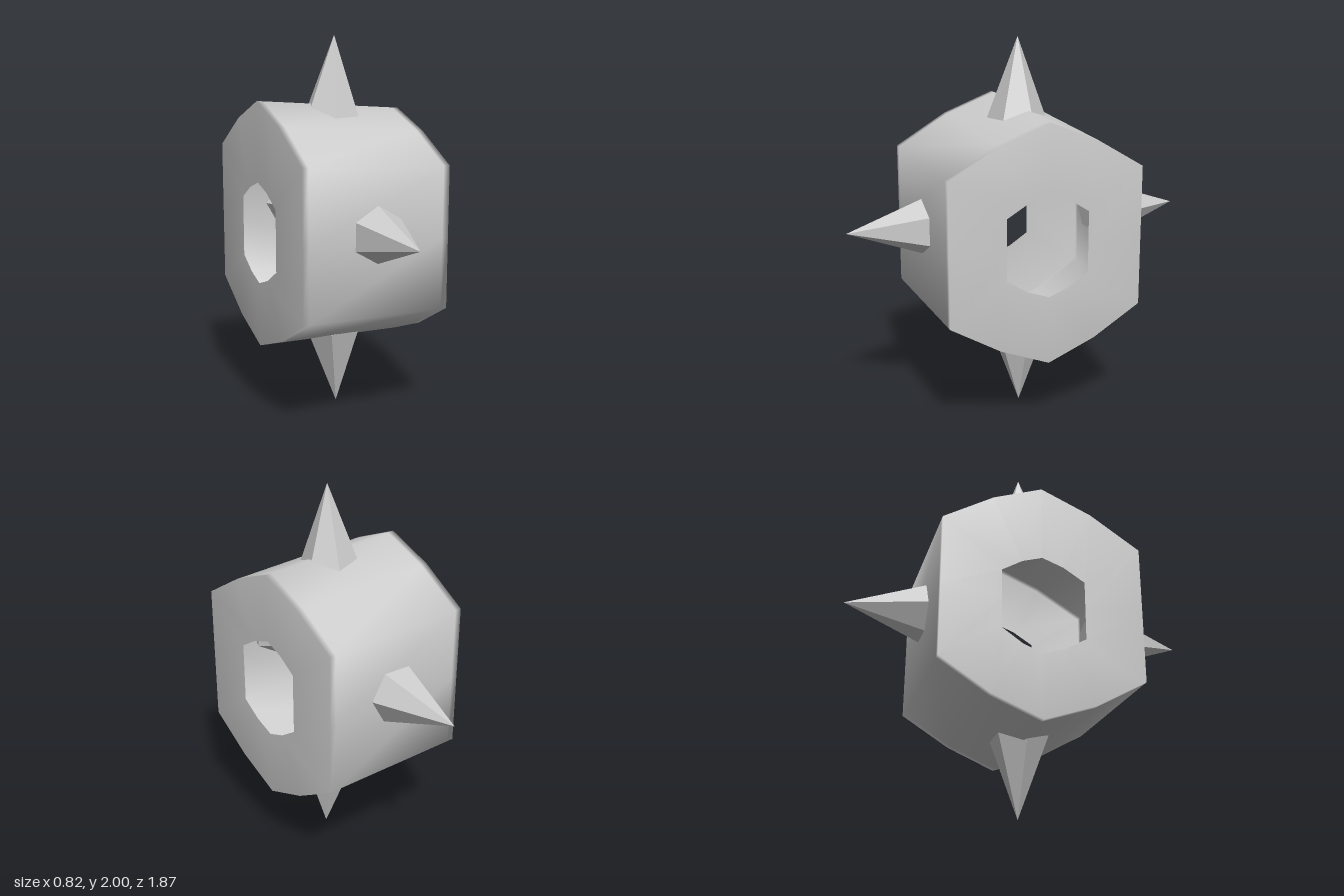
import * as THREE from 'three';

const grey = (extra) => new THREE.MeshStandardMaterial({ color: 0xcccccc, side: THREE.DoubleSide, ...extra });

// Six-sided outline with slightly bowed slopes, as [z, y] points from the top towards +z
function outline({ top, bottom, shoulder, foot, front, back, bow }) {
  const half = (z) => [
    [z / 2, (top + shoulder) / 2 + bow],
    [z, shoulder],
    [z, (shoulder + foot) / 2],
    [z, foot],
    [z / 2, (bottom + foot) / 2 - bow],
  ];
  return [[0, top], ...half(front), [0, bottom], ...half(-back).reverse()];
}

// Hollow barrel: loops run from one end hole, over both rims, to the other hole
function barrelGeometry() {
  const left = outline({ top: 1.61, bottom: 0.362, shoulder: 1.36, foot: 0.62, front: 0.53, back: 0.515, bow: 0.025 });
  const right = outline({ top: 1.672, bottom: 0.378, shoulder: 1.4, foot: 0.64, front: 0.55, back: 0.53, bow: 0.03 });
  const hole = outline({ top: 1.255, bottom: 0.72, shoulder: 1.15, foot: 0.83, front: 0.23, back: 0.215, bow: 0.015 });
  const mix = (a, b, t) => a.map((p, i) => p.map((v, k) => v + (b[i][k] - v) * t));
  const loops = [
    [-0.41, hole],
    [-0.41, right],
    [-0.375, mix(right, left, 0.04)],
    [0.375, mix(right, left, 0.96)],
    [0.41, left],
    [0.41, hole],
  ];
  const n = hole.length;
  const positions = [];
  const indices = [];
  loops.forEach(([x, points], j) => {
    points.forEach(([z, y], i) => {
      positions.push(x, y, z);
      if (j === loops.length - 1) return;
      const a = j * n + i;
      const b = j * n + ((i + 1) % n);
      indices.push(a, b, a + n, b, b + n, a + n);
    });
  });
  const geometry = new THREE.BufferGeometry();
  geometry.setAttribute('position', new THREE.Float32BufferAttribute(positions, 3));
  geometry.setIndex(indices);
  geometry.computeVertexNormals();
  return geometry;
}

// Six-sided spike pointing up from its narrow root, which sits inside the barrel
function spikeGeometry(twist) {
  const profile = [[0, 0], [0.11, 0], [0.158, 0.1], [0, 0.53]].map(([r, y]) => new THREE.Vector2(r, y));
  return new THREE.LatheGeometry(profile, 6).rotateY(twist);
}

export function createModel() {
  const model = new THREE.Group();

  const barrel = new THREE.Mesh(barrelGeometry(), grey());
  barrel.name = 'barrel';
  model.add(barrel);

  // Spikes: name, root position, tilt about x, lean about z, twist about own axis
  const spikes = [
    ['topSpike', [0, 1.47, 0.015], 0, -0.035, 0.73],
    ['frontSpike', [0, 1.045, 0.405], Math.PI / 2, 0, 0],
    ['bottomSpike', [0.015, 0.53, 0.015], Math.PI, -0.03, Math.PI / 6],
    ['backSpike', [0, 1.045, -0.405], -Math.PI / 2, 0, Math.PI / 6],
  ];
  for (const [name, root, tilt, lean, twist] of spikes) {
    const spike = new THREE.Mesh(spikeGeometry(twist), grey({ flatShading: true }));
    spike.name = name;
    spike.position.set(...root);
    spike.rotation.set(tilt, 0, lean);
    model.add(spike);
  }
  return model;
}
